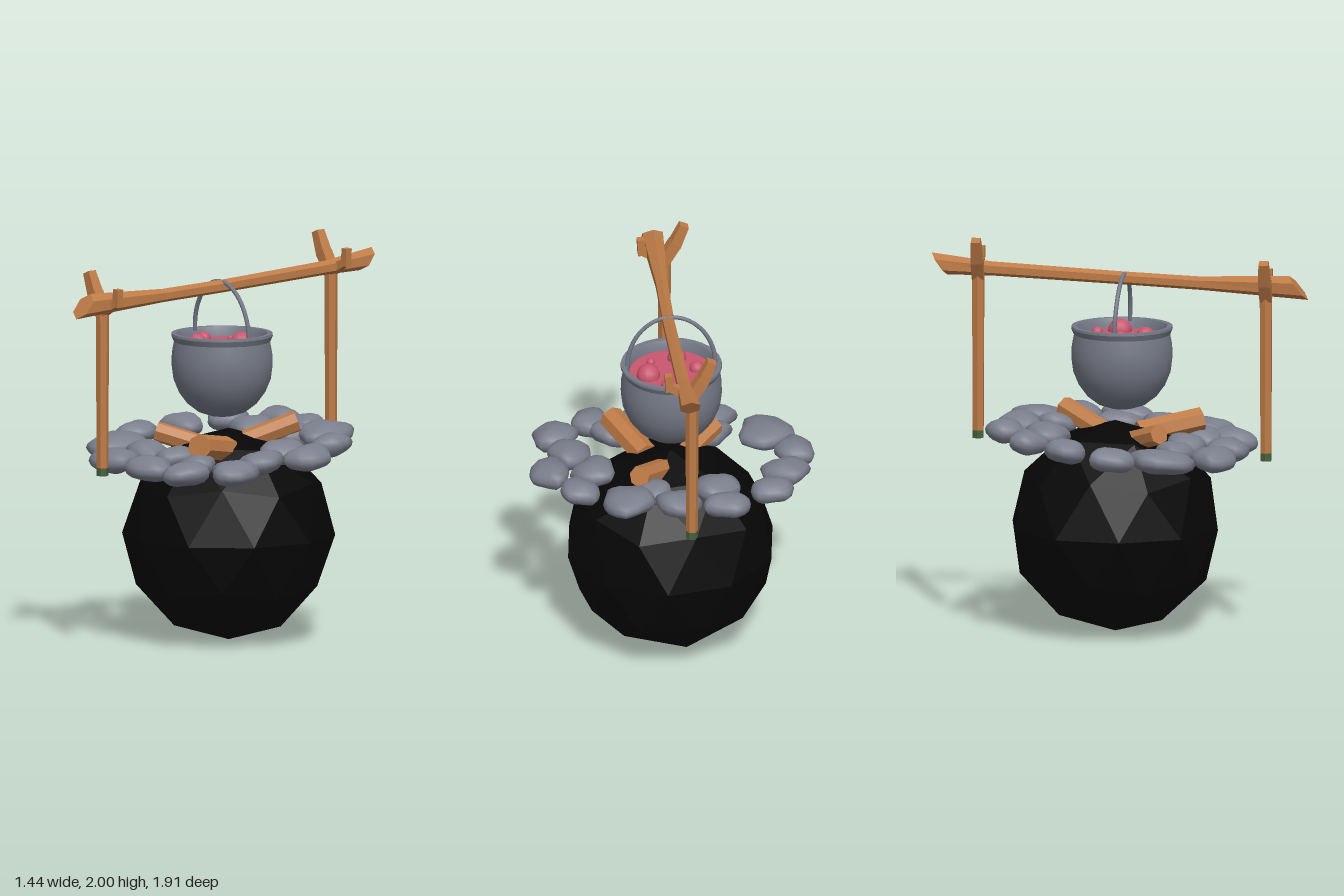
import * as THREE from 'three';
import { mergeVertices, toCreasedNormals } from 'three/addons/utils/BufferGeometryUtils.js';

const mat = (name, color) => {
  const m = new THREE.MeshStandardMaterial({ color });
  m.name = name;
  return m;
};

// Faceted copy of a geometry
function faceted(geo) {
  const g = geo.index ? geo.toNonIndexed() : geo;
  g.computeVertexNormals();
  return g;
}

// Tapered prism between two points
function limb(a, b, rA, rB, sides, turn = 0) {
  const from = new THREE.Vector3(...a);
  const dir = new THREE.Vector3(...b).sub(from);
  const g = new THREE.CylinderGeometry(rB, rA, dir.length(), sides, 1, false, turn);
  g.translate(0, dir.length() / 2, 0);
  g.applyQuaternion(new THREE.Quaternion().setFromUnitVectors(new THREE.Vector3(0, 1, 0), dir.normalize()));
  g.translate(...a);
  return faceted(g);
}

// Rounded, irregular flat stone
function stoneGeometry(rx, rz, seed) {
  const g = new THREE.SphereGeometry(1, 14, 8);
  g.deleteAttribute('uv');
  g.deleteAttribute('normal');
  const p = g.attributes.position;
  for (let i = 0; i < p.count; i++) {
    const x = p.getX(i), y = p.getY(i), z = p.getZ(i);
    const a = Math.atan2(z, x);
    const flat = Math.hypot(x, z);
    const out = flat > 1e-4 ? Math.pow(flat, 0.85) / flat : 0;
    const k = out * (1 + 0.08 * Math.sin(3 * a + seed * 1.7) + 0.06 * Math.cos(5 * a + seed * 2.3));
    const bump = 1 + 0.15 * Math.sin(2 * a + seed) * flat;
    p.setXYZ(i, x * k * rx, y * bump * 0.06 + 0.02 * x * Math.sin(seed * 3.1), z * k * rz);
  }
  const m = mergeVertices(g, 1e-4);
  m.computeVertexNormals();
  return m;
}

export function createModel() {
  const model = new THREE.Group();
  const black = mat('charcoal black', 0x060606);
  const grey = mat('stone grey', 0x7b7e8c);
  const iron = mat('iron grey', 0x757986);
  const wood = mat('wood brown', 0xbe7b47);
  const soupPink = mat('soup pink', 0xc9566e);
  const green = mat('moss green', 0x46603f);

  const add = (name, geo, material, parent = model) => {
    const mesh = new THREE.Mesh(geo, material);
    mesh.name = name;
    parent.add(mesh);
    return mesh;
  };
  const group = (name) => {
    const g = new THREE.Group();
    g.name = name;
    model.add(g);
    return g;
  };

  // Charcoal ball with a vertex at each pole
  const ball = new THREE.IcosahedronGeometry(0.535, 1);
  ball.rotateX(-Math.atan((1 + Math.sqrt(5)) / 2));
  ball.rotateY(0.16);
  ball.translate(0.01, 0.542, -0.025);
  add('charcoalBall', faceted(ball), black);

  // Stone ring: x, z, half width, half depth
  const stones = [
    [-0.21, -0.55, 0.12, 0.095], [-0.45, -0.41, 0.11, 0.1], [-0.18, -0.34, 0.12, 0.11],
    [-0.55, -0.2, 0.125, 0.1], [-0.63, 0.035, 0.1, 0.115], [-0.51, 0.27, 0.14, 0.165],
    [-0.25, 0.51, 0.14, 0.115], [0.06, 0.54, 0.13, 0.11], [0.33, 0.53, 0.105, 0.125],
    [0.54, 0.4, 0.115, 0.115], [0.49, 0.18, 0.11, 0.12], [0.62, -0.03, 0.1, 0.135],
    [0.5, -0.27, 0.1, 0.11], [0.28, -0.43, 0.13, 0.15], [0.03, -0.5, 0.115, 0.11],
    [0.4, -0.05, 0.11, 0.125], [0, 0.33, 0.11, 0.1], [-0.23, 0.31, 0.11, 0.1],
    [0.25, 0.39, 0.1, 0.1], [0.14, -0.34, 0.09, 0.1],
  ];
  const ring = group('stoneRing');
  stones.forEach(([x, z, rx, rz], i) => {
    const stone = add('stone', stoneGeometry(rx, rz, i + 1), grey, ring);
    stone.position.set(x, 0.99 - 0.11 * z, z);
    stone.rotation.x = 0.11;
  });

  // Firewood
  const fire = group('firewood');
  [
    [[0.03, 0.99, -0.05], [0.205, 1.105, -0.31], 0.055],
    [[0.12, 0.99, 0.08], [0.255, 1.045, 0.38], 0.065],
    [[-0.08, 0.99, 0.08], [-0.25, 1.055, 0.23], 0.052],
  ].forEach(([a, b, r]) => add('log', limb(a, b, r, r, 7), wood, fire));

  // Forked stakes with mossy feet
  [['frontStake', -0.065, 0.9, 0.745], ['backStake', -0.005, 0.975, -0.715]].forEach(([name, x, y, z]) => {
    const stake = group(name);
    stake.position.set(x, y, z);
    add('foot', limb([0, 0, 0], [0, 0.04, 0], 0.03, 0.03, 6, Math.PI / 6), green, stake);
    add('post', limb([0, 0.04, 0], [0, 0.85, 0], 0.03, 0.034, 6, Math.PI / 6), wood, stake);
    const q = Math.PI / 4;
    add('wideTine', limb([0.005, 0.82, 0], [-0.055, 0.92, 0], 0.042, 0.042, 4, q), wood, stake);
    add('wideTineTip', limb([-0.05, 0.905, 0], [-0.1, 1.02, 0], 0.042, 0.033, 4, q), wood, stake);
    add('thinTine', limb([0, 0.83, 0], [0.115, 0.885, 0], 0.036, 0.026, 4, q), wood, stake);
    add('thinTineTip', limb([0.115, 0.865, 0], [0.12, 0.955, 0], 0.026, 0.026, 4, q), wood, stake);
  });

  // Cross beam: z, x, y, radius and end slant of each section, front to back
  const sections = [
    [0.905, -0.025, 1.775, 0.06, -0.8], [0.4, -0.005, 1.785, 0.034, 0], [0, 0.015, 1.8, 0.033, 0],
    [-0.65, 0.03, 1.83, 0.036, 0], [-0.915, 0.03, 1.85, 0.055, -0.7],
  ];
  const beam = new THREE.CylinderGeometry(1, 1, 1, 6, 4);
  beam.rotateX(Math.PI / 2);
  const bp = beam.attributes.position;
  for (let i = 0; i < bp.count; i++) {
    const [z, x, y, r, slant] = sections[Math.round((0.5 - bp.getZ(i)) * 4)];
    const dy = bp.getY(i) * r;
    bp.setXYZ(i, x + bp.getX(i) * r, y + dy, z + dy * slant);
  }
  add('crossBeam', faceted(beam), wood);

  // Cauldron
  const cauldron = group('cauldron');
  cauldron.position.z = 0.01;
  const lathe = (pts) => new THREE.LatheGeometry(pts.map(([r, y]) => new THREE.Vector2(r, y)), 32);
  add('bowl', lathe([
    [0, 1.14], [0.06, 1.143], [0.12, 1.163], [0.175, 1.205], [0.217, 1.262],
    [0.245, 1.33], [0.254, 1.4], [0.252, 1.46], [0.24, 1.525],
  ]), iron, cauldron);
  add('rim', toCreasedNormals(lathe([
    [0.232, 1.518], [0.243, 1.52], [0.255, 1.548], [0.253, 1.56], [0.228, 1.56], [0.215, 1.535], [0.208, 1.49],
  ]), 0.5), iron, cauldron);

  // Soup and bubbles
  const soup = new THREE.CircleGeometry(0.215, 32);
  soup.rotateX(-Math.PI / 2);
  soup.translate(0, 1.51, 0);
  add('soup', soup, soupPink, cauldron);
  [
    [0.12, -0.025, 0.06], [-0.13, 0.01, 0.038], [-0.045, 0.125, 0.048],
    [0.09, 0.1, 0.022], [-0.05, -0.1, 0.016], [0.04, -0.13, 0.03],
  ].forEach(([x, z, r]) => {
    const bubble = new THREE.SphereGeometry(r, 14, 10);
    bubble.translate(x, 1.515, z);
    add('bubble', bubble, soupPink, cauldron);
  });

  // Hanging handle
  const arch = [];
  for (let i = 0; i <= 12; i++) {
    const a = (i / 12) * Math.PI;
    arch.push(new THREE.Vector3(-0.222 * Math.cos(a), 1.545 + 0.277 * Math.sin(a), -0.012 * Math.cos(a) + 0.012 * Math.sin(a)));
  }
  add('handle', new THREE.TubeGeometry(new THREE.CatmullRomCurve3(arch), 32, 0.011, 8), iron, cauldron);

  return model;
}
